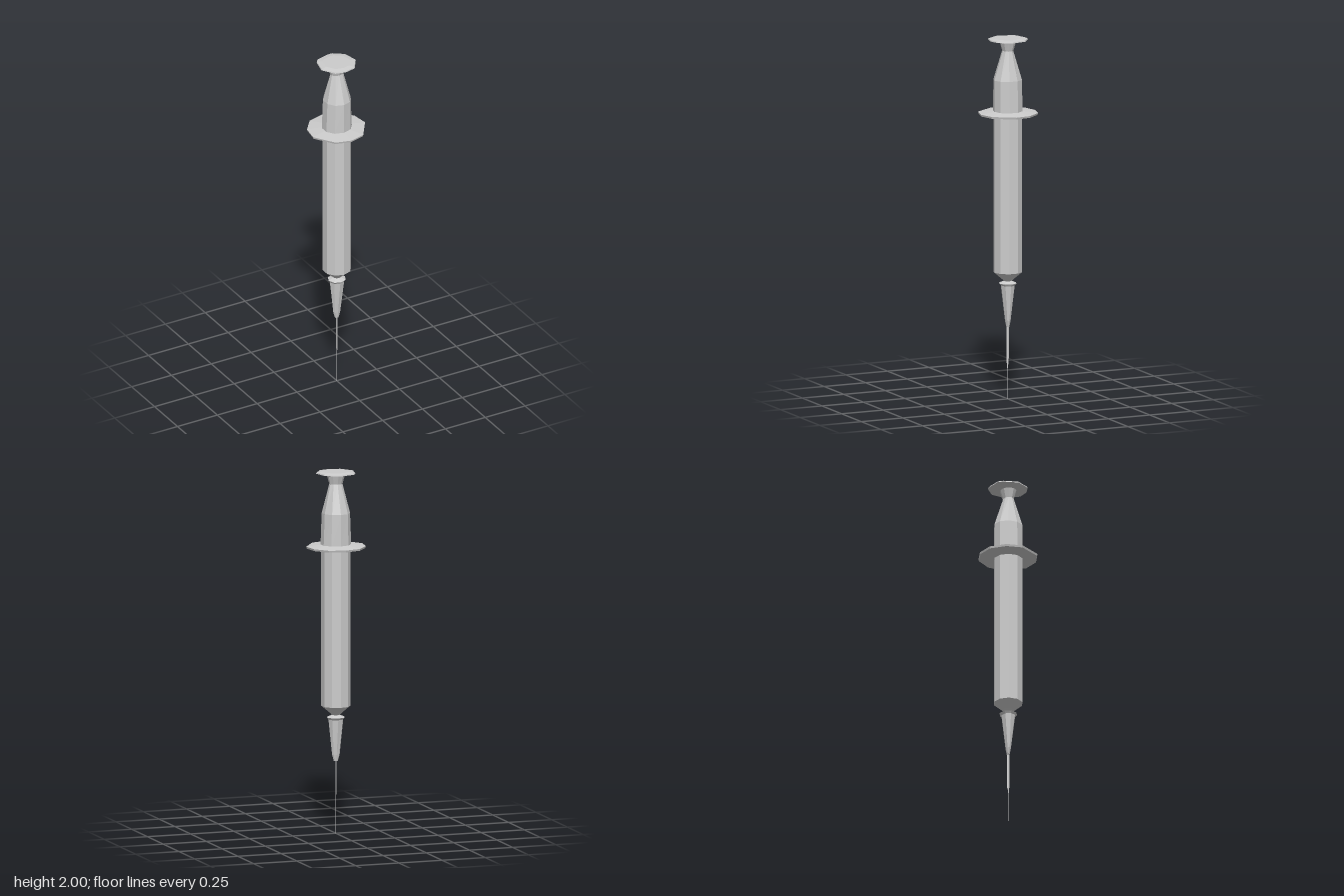
import * as THREE from 'three';

const material = new THREE.MeshStandardMaterial({ color: 0xcccccc, flatShading: true });

// Regular outline as [x, z] pairs, starting at the front and turning towards +x
function ring(sides) {
  return Array.from({ length: sides }, (_, i) => {
    const a = (i / sides) * Math.PI * 2;
    return [Math.sin(a), Math.cos(a)];
  });
}

// Stacks an outline upwards; each level is [y, scaleX, scaleZ]
function loft(name, outline, levels) {
  const n = outline.length;
  const positions = [];
  const index = [];
  for (const [y, sx, sz = sx] of levels) {
    for (const [x, z] of outline) positions.push(x * sx, y, z * sz);
  }
  for (let r = 0; r < levels.length - 1; r++) {
    for (let i = 0; i < n; i++) {
      const a = r * n + i, b = r * n + (i + 1) % n;
      index.push(a, b, b + n, a, b + n, a + n);
    }
  }
  const geometry = new THREE.BufferGeometry();
  geometry.setAttribute('position', new THREE.Float32BufferAttribute(positions, 3));
  geometry.setIndex(index);
  geometry.computeVertexNormals();
  const mesh = new THREE.Mesh(geometry, material);
  mesh.name = name;
  return mesh;
}

export function createModel() {
  const group = new THREE.Group();
  group.name = 'syringe';
  const decagon = ring(10);

  // Thin needle, deeper than it is wide near the hub
  group.add(loft('needle', ring(4), [
    [0, 0.001, 0.001], [0.19, 0.002, 0.003], [0.2, 0.002, 0.006], [0.41, 0.003, 0.008],
  ]));

  // Tapered needle hub with a flared rim
  group.add(loft('needleHub', ring(8), [
    [0.4, 0], [0.4, 0.012, 0.008], [0.435, 0.022, 0.014], [0.63, 0.043, 0.039],
    [0.642, 0.051, 0.05], [0.655, 0.02], [0.655, 0],
  ]));

  // Barrel with its conical shoulder and nozzle
  group.add(loft('barrel', decagon, [
    [0.64, 0], [0.64, 0.03], [0.655, 0.022], [0.665, 0.032], [0.705, 0.08], [1.58, 0.08], [1.58, 0],
  ]));

  // Finger flange, a thin uneven ten-sided plate
  const flange = [
    [0, 0.162], [0.087, 0.138], [0.163, 0.025], [0.15, -0.065], [0.09, -0.14],
    [0, -0.164], [-0.09, -0.14], [-0.15, -0.065], [-0.163, 0.025], [-0.087, 0.138],
  ];
  group.add(loft('fingerFlange', flange, [
    [1.568, 0], [1.568, 0.5], [1.577, 0.98], [1.588, 1], [1.597, 0.5], [1.597, 0],
  ]));

  // Plunger body, tapering to a waist under the thumb rest
  group.add(loft('plunger', decagon, [
    [1.59, 0], [1.59, 0.084, 0.081], [1.77, 0.077, 0.08], [1.93, 0.037, 0.029],
    [1.985, 0.052, 0.046], [1.985, 0],
  ]));

  // Thumb rest, a slightly domed disc
  const thumb = [
    [0, 0.105], [0.06, 0.091], [0.108, 0.02], [0.09, -0.063], [0.03, -0.107],
    [0, -0.107], [-0.073, -0.087], [-0.09, -0.063], [-0.108, 0.02], [-0.06, 0.091],
  ];
  group.add(loft('thumbRest', thumb, [
    [1.981, 0], [1.981, 0.6], [1.989, 1], [1.995, 0.98], [2, 0.7], [2, 0],
  ]));

  return group;
}
